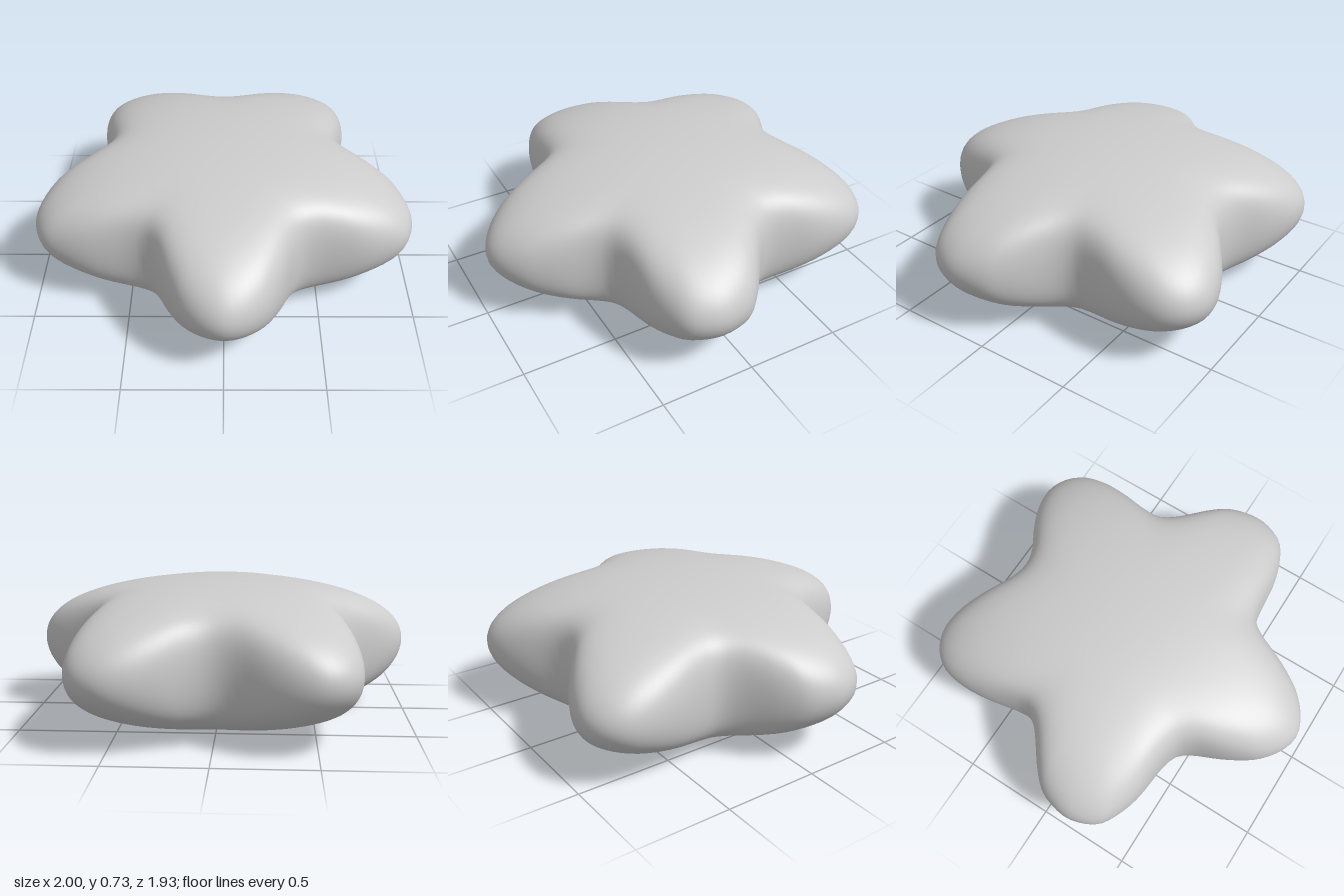
import * as THREE from 'three';
import { mergeVertices } from 'three/addons/utils/BufferGeometryUtils.js';

const CENTRE_Z = -0.07, HALF_HEIGHT = 0.365;
const AROUND = 160, RINGS = 64;
const REACH = 1.06; // radius of the lens-shaped dome the star is cut from
const K = 4;        // how tightly the dome rounds over into the notches

// Half of the star outline as [x, z], from the front tip round to the back notch
const HALF_OUTLINE = [
  [0, 0.96], [0.10, 0.93], [0.20, 0.85], [0.27, 0.74], [0.31, 0.65], [0.35, 0.55], [0.40, 0.48],
  [0.48, 0.45], [0.62, 0.435], [0.71, 0.425], [0.83, 0.39], [0.935, 0.33], [0.985, 0.24], [1, 0.15],
  [0.96, 0], [0.89, -0.08], [0.70, -0.235], [0.655, -0.31], [0.66, -0.40], [0.70, -0.58],
  [0.71, -0.72], [0.685, -0.84], [0.615, -0.925], [0.51, -0.968], [0.39, -0.955], [0.27, -0.905],
  [0.09, -0.80], [0, -0.78],
];

function starOutline() {
  const mirrored = HALF_OUTLINE.slice(1, -1).reverse().map(([x, z]) => [-x, z]);
  const points = [...HALF_OUTLINE, ...mirrored].map(([x, z]) => new THREE.Vector3(x, 0, z - CENTRE_Z));
  return new THREE.CatmullRomCurve3(points, true).getSpacedPoints(AROUND);
}

// A sphere whose rings change from circles near the poles to the star outline at the rim
function puffyStarGeometry() {
  const outline = starOutline();
  const sphere = new THREE.SphereGeometry(1, AROUND, RINGS);
  const position = sphere.attributes.position;
  for (let i = 0; i < position.count; i++) {
    const rim = outline[i % (AROUND + 1)];
    const rimRadius = rim.length();
    const y = position.getY(i);
    const dome = REACH * Math.pow(Math.max(1e-9, 1 - y * y), 1 / 2.1);
    // Smooth minimum of the dome's radius and the outline's radius
    const radius = Math.pow(dome ** -K + rimRadius ** -K - REACH ** -K, -1 / K);
    const scale = radius / rimRadius;
    position.setXYZ(i, rim.x * scale, HALF_HEIGHT * (1 + y), CENTRE_Z + rim.z * scale);
  }
  // Weld the seam and poles so that the shading is smooth all over
  sphere.deleteAttribute('uv');
  sphere.deleteAttribute('normal');
  const welded = mergeVertices(sphere, 1e-3);
  welded.computeVertexNormals();
  return welded;
}

export function createModel() {
  const group = new THREE.Group();
  group.name = 'puffyStar';
  const grey = new THREE.MeshStandardMaterial({ color: 0xcccccc });
  grey.name = 'grey';
  const body = new THREE.Mesh(puffyStarGeometry(), grey);
  body.name = 'starBody';
  group.add(body);
  return group;
}
